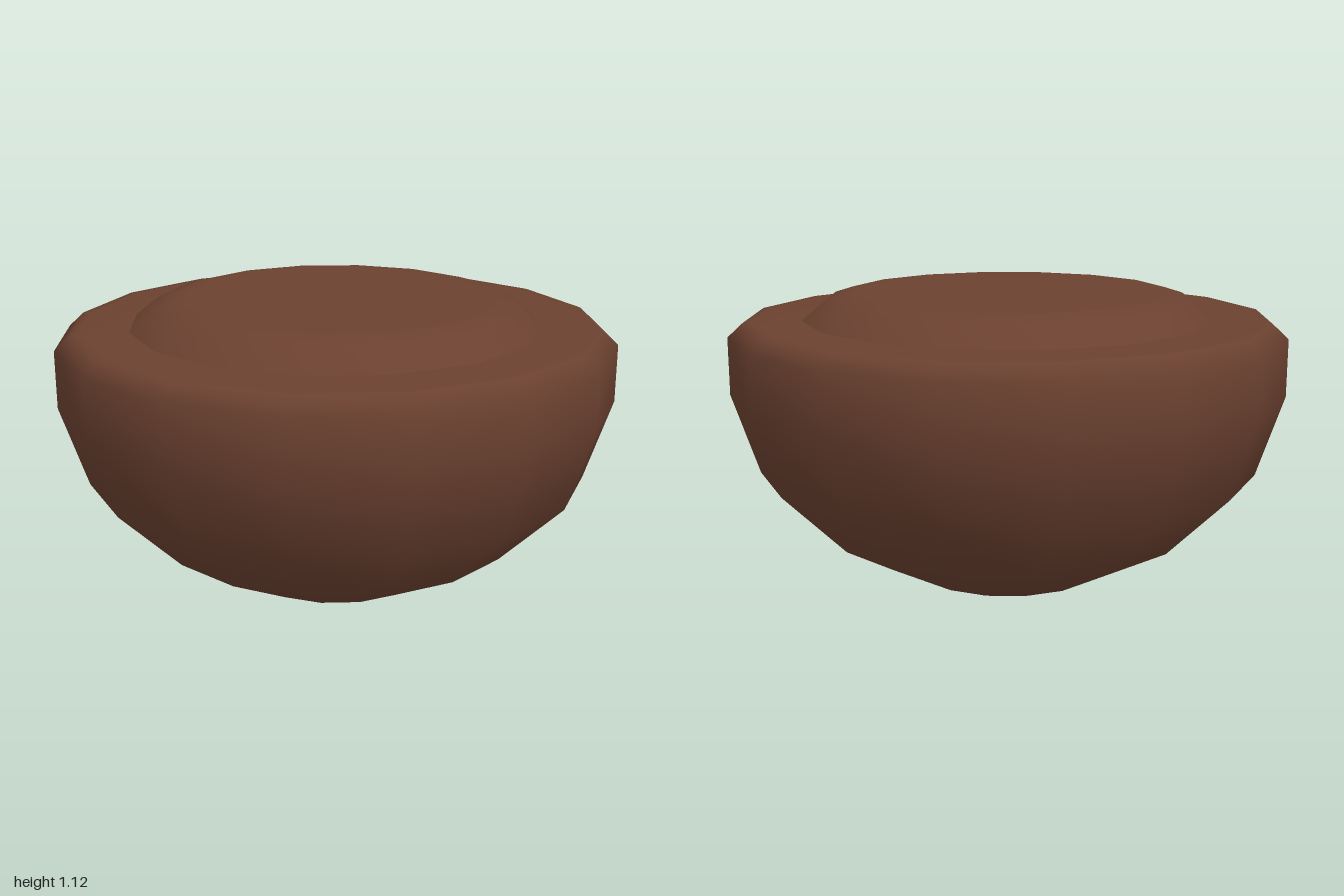
import * as THREE from 'three';

const SIDES = 16;

// Turned solid from [radius, height] pairs, listed from the bottom upwards
function turned(name, profile, material) {
  const points = profile.map(([r, y]) => new THREE.Vector2(r, y));
  const mesh = new THREE.Mesh(new THREE.LatheGeometry(points, SIDES), material);
  mesh.name = name;
  return mesh;
}

export function createModel() {
  const model = new THREE.Group();
  model.name = 'filledBowl';

  const brown = new THREE.MeshStandardMaterial({ color: 0x6b4130 });
  brown.name = 'brown';

  // Rounded bowl with a chamfered lip and a flat rim
  model.add(turned('bowl', [
    [0, 0], [0.36, 0.085], [0.67, 0.25], [0.905, 0.485], [1, 0.775],
    [1, 0.98], [0.945, 1.03], [0.91, 1.032], [0.7, 1.032],
  ], brown));

  // Low bevelled mound filling the bowl
  model.add(turned('filling', [
    [0.76, 1.01], [0.74, 1.032], [0.655, 1.1], [0.585, 1.122], [0.55, 1.123], [0, 1.123],
  ], brown));

  return model;
}
